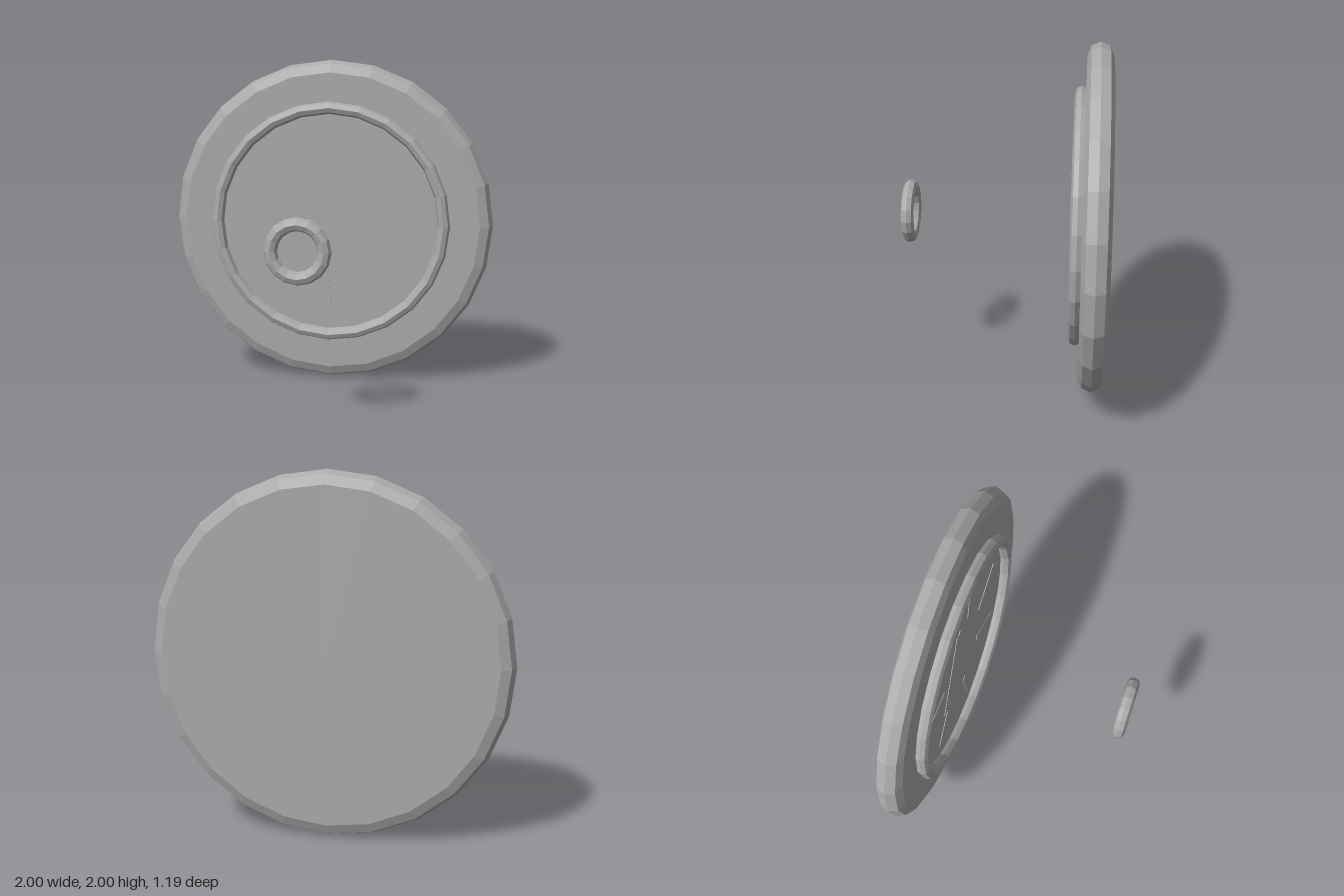
import * as THREE from 'three';

export function createModel() {
  const model = new THREE.Group();
  const grey = new THREE.MeshStandardMaterial({ color: 0xaaaaaa, flatShading: true });
  grey.name = 'stone grey';

  const faceZ = -0.45;

  function add(name, geometry, x, y, z, angle = 0) {
    const mesh = new THREE.Mesh(geometry, grey);
    mesh.name = name;
    mesh.position.set(x, y, z);
    mesh.rotation.z = angle;
    model.add(mesh);
    return mesh;
  }

  // Solid disc with a rounded rim, turned to face +z
  const rim = 0.075;
  const profile = [new THREE.Vector2(0, -rim)];
  for (let i = -2; i <= 2; i++) {
    const a = (i * Math.PI) / 4;
    profile.push(new THREE.Vector2(0.925 + rim * Math.cos(a), rim * Math.sin(a)));
  }
  profile.push(new THREE.Vector2(0, rim));
  add('disc', new THREE.LatheGeometry(profile, 24).rotateX(Math.PI / 2), 0, 1, -0.525);

  // Raised ring on the disc face
  add('raisedRing', new THREE.TorusGeometry(0.708, 0.0375, 8, 24), 0, 1.005, -0.425);

  // Small ring floating in front
  add('frontRing', new THREE.TorusGeometry(0.147, 0.0375, 8, 16), 0, 1.005, 0.55);

  // Seven slanted marks around the face
  const mark = new THREE.BoxGeometry(0.29, 0.037, 0.008);
  for (let i = 0; i < 7; i++) {
    const a = THREE.MathUtils.degToRad(-40.4 + (i * 360) / 7);
    add('mark' + (i + 1), mark, 0.438 * Math.cos(a), 1 + 0.438 * Math.sin(a), faceZ,
      a + THREE.MathUtils.degToRad(7));
  }

  // Two mirrored legs of the chevron
  const leg = new THREE.BoxGeometry(0.575, 0.06, 0.008);
  for (const side of [-1, 1]) {
    add(side > 0 ? 'chevronLeft' : 'chevronRight', leg, side * 0.155, 1.075, faceZ, -side * 1.0);
  }

  return model;
}
